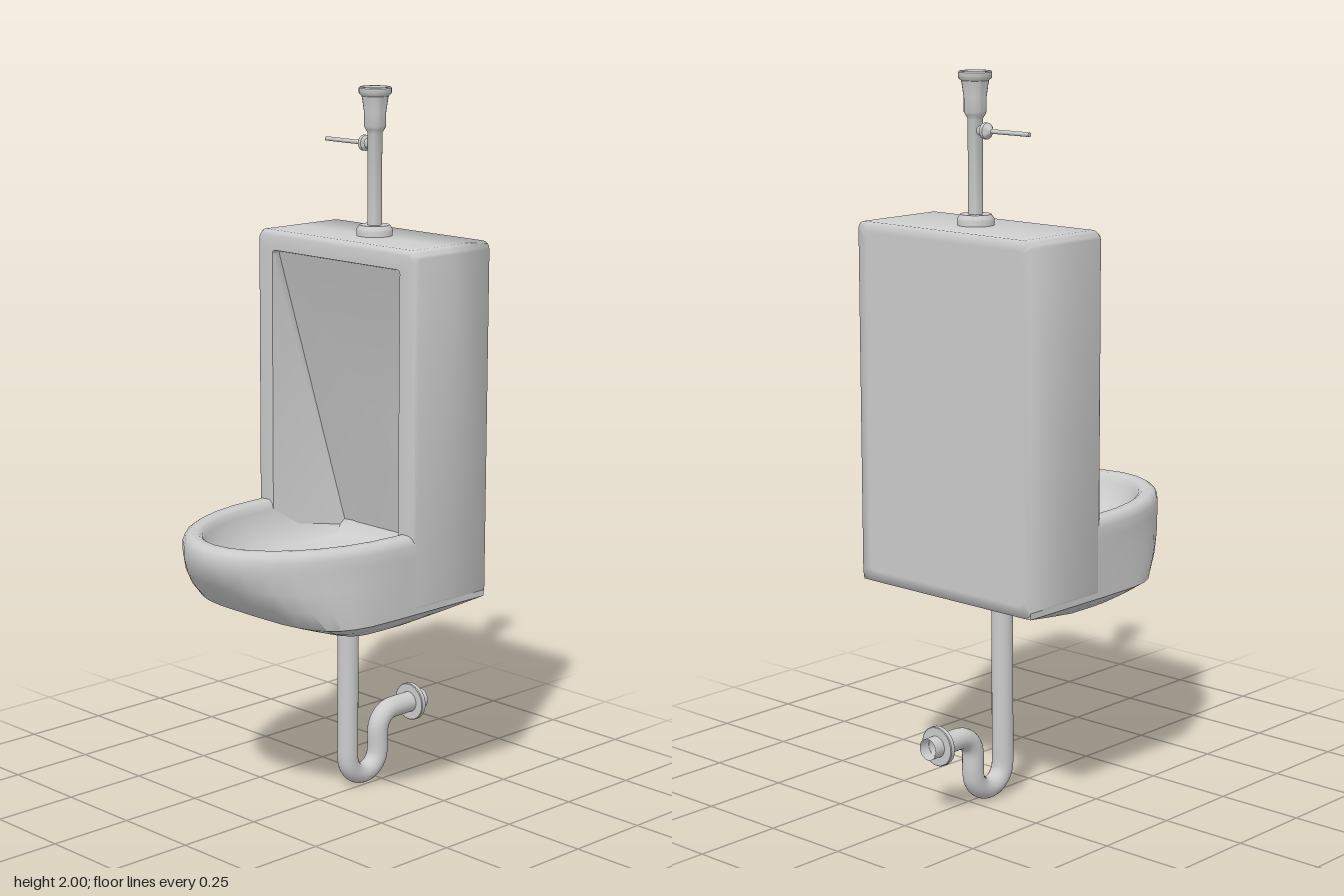
import * as THREE from 'three';
import { toCreasedNormals } from 'three/addons/utils/BufferGeometryUtils.js';

const grey = new THREE.MeshStandardMaterial({ color: 0xcccccc });
const greyOpen = new THREE.MeshStandardMaterial({ color: 0xcccccc, side: THREE.DoubleSide });

function add(parent, name, geometry, material = grey) {
  const mesh = new THREE.Mesh(geometry, material);
  mesh.name = name;
  parent.add(mesh);
  return mesh;
}

// Skin a list of closed rings that all have the same number of points
function loft(rings, crease) {
  const n = rings[0].length;
  const index = [];
  for (let i = 0; i < rings.length - 1; i++) {
    for (let j = 0; j < n; j++) {
      const k = (j + 1) % n;
      const a = i * n + j, b = i * n + k, c = b + n, d = a + n;
      index.push(a, d, b, b, d, c);
    }
  }
  const geometry = new THREE.BufferGeometry();
  geometry.setAttribute('position', new THREE.Float32BufferAttribute(rings.flat(2), 3));
  geometry.setIndex(index);
  return toCreasedNormals(geometry, crease);
}

// Upright rounded rectangle, clockwise from the front
function rectRing(halfW, y0, y1, r, z) {
  const ring = [];
  const corners = [[1, 1], [1, 0], [-1, 0], [-1, 1]];
  corners.forEach(([sx, top], q) => {
    for (let s = 0; s <= 4; s++) {
      const a = Math.PI / 2 - (q + s / 4) * Math.PI / 2;
      ring.push([sx * (halfW - r) + r * Math.cos(a), (top ? y1 - r : y0 + r) + r * Math.sin(a), z]);
    }
  });
  return ring;
}

// Horizontal bowl outline: straight back and sides, front from elliptical (power 1) to boxy
function bowlRing(y, halfW, front, back, power = 1) {
  const start = -0.02, ring = [];
  for (let s = 0; s <= 16; s++) {
    const a = s / 16 * Math.PI;
    const c = Math.cos(a), d = Math.max(0, Math.sin(a));
    ring.push([
      halfW * Math.sign(c) * Math.abs(c) ** power, y,
      start + (front - start) * d ** power,
    ]);
  }
  ring.push([-halfW, y, back], [-halfW / 3, y, back], [halfW / 3, y, back], [halfW, y, back]);
  return ring;
}

const repeat = (point, n) => Array.from({ length: n }, () => point);

// Softly shaded housing with a framed front opening
function createHousing() {
  return loft([
    repeat([0, 1.1, -0.34], 20),
    rectRing(0.28, 0.63, 1.565, 0.015, -0.34),
    rectRing(0.31, 0.6, 1.595, 0.022, -0.34),
    rectRing(0.31, 0.6, 1.595, 0.022, -0.19),
    rectRing(0.31, 0.6, 1.595, 0.022, -0.07),
    rectRing(0.305, 0.605, 1.59, 0.022, -0.059),
    rectRing(0.295, 0.615, 1.58, 0.02, -0.055),
    rectRing(0.25, 0.64, 1.54, 0.01, -0.057),
  ], 1.75);
}

// Recess whose back wall deepens and narrows towards the bowl
function createRecess() {
  const opening = rectRing(0.25, 0.64, 1.54, 0.01, -0.057);
  const place = (x, y) => {
    const t = Math.min(1, (1.54 - y) / 0.8);
    return [x * (1 - 0.17 * t), y, -0.075 - 0.245 * t];
  };
  const wall = rectRing(0.245, 0.645, 1.535, 0.01, 0).map(([x, y]) => place(x, y));
  return loft([opening, wall, repeat(place(0, 1.1), 20)], 0.6);
}

function createBowl() {
  // y, half width, front z, back z, power: up the outside, over the rim, down the inside
  const levels = [
    [0.55, 0.235, 0.12, -0.09, 0.5], [0.575, 0.275, 0.19, -0.21, 0.5],
    [0.6, 0.309, 0.26, -0.339, 0.55], [0.655, 0.309, 0.335, -0.335, 0.72],
    [0.71, 0.309, 0.395, -0.335, 0.9], [0.765, 0.309, 0.425, -0.335],
    [0.795, 0.309, 0.425, -0.335], [0.812, 0.304, 0.418, -0.335],
    [0.82, 0.293, 0.405, -0.335], [0.82, 0.266, 0.382, -0.33],
    [0.812, 0.255, 0.37, -0.325], [0.795, 0.25, 0.364, -0.322],
    [0.74, 0.235, 0.325, -0.31], [0.7, 0.19, 0.24, -0.26],
    [0.675, 0.12, 0.13, -0.18],
  ];
  const rings = levels.map(level => bowlRing(...level));
  const n = rings[0].length;
  return loft([repeat([0, 0.528, 0.01], n), ...rings, repeat([0, 0.665, -0.03], n)], 0.9);
}

function lathe(profile, segments = 24) {
  const points = profile.map(([r, y]) => new THREE.Vector2(r, y));
  return toCreasedNormals(new THREE.LatheGeometry(points, segments), 0.6);
}

function createFlushValve() {
  const valve = new THREE.Group();
  valve.name = 'flushValve';
  valve.position.set(0.012, 0, -0.198);
  add(valve, 'valveBase', lathe([[0.05, 1.59], [0.05, 1.612], [0.042, 1.624], [0, 1.624]]));
  add(valve, 'valveStemAndHead', lathe([
    [0.02, 1.61], [0.02, 1.875], [0.026, 1.885], [0.03, 1.893], [0.03, 1.93], [0.035, 1.965],
    [0.037, 1.975], [0.043, 1.98], [0.045, 1.985], [0.045, 1.997], [0.042, 2],
    [0.036, 2], [0.034, 1.993], [0, 1.993],
  ]));
  // Lever pointing to the model's right
  const lever = add(valve, 'flushLever', lathe([
    [0.012, 0.01], [0.014, 0.028], [0.022, 0.034], [0.022, 0.044], [0.014, 0.052],
    [0.006, 0.06], [0.006, 0.192], [0, 0.192],
  ], 16));
  lever.rotation.z = Math.PI / 2;
  lever.position.y = 1.845;
  return valve;
}

function createDrain() {
  const drain = new THREE.Group();
  drain.name = 'drain';
  const x = -0.018, points = [];
  const put = (y, z) => points.push(new THREE.Vector3(x, y, z));
  const arc = (y, z, from, to) => {
    for (let s = 0; s <= 8; s++) {
      const a = from + (to - from) * s / 8;
      put(y + 0.06 * Math.sin(a), z + 0.06 * Math.cos(a));
    }
  };
  // Straight drop, U-trap, elbow and wall outlet
  put(0.62, -0.13);
  put(0.35, -0.13);
  put(0.14, -0.13);
  arc(0.09, -0.19, 0, -Math.PI);
  arc(0.14, -0.31, 0, Math.PI / 2);
  put(0.2, -0.37);
  put(0.2, -0.428);
  const path = new THREE.CatmullRomCurve3(points, false, 'centripetal');
  add(drain, 'drainPipe', new THREE.TubeGeometry(path, 120, 0.03, 20), greyOpen);
  // Wall flange around the outlet
  const flange = add(drain, 'wallFlange', lathe([
    [0.029, -0.008], [0.053, -0.008], [0.055, -0.006], [0.055, 0.006], [0.053, 0.008], [0.029, 0.008],
  ], 28));
  flange.rotation.x = Math.PI / 2;
  flange.position.set(x, 0.2, -0.386);
  return drain;
}

export function createModel() {
  const model = new THREE.Group();
  model.name = 'urinal';
  add(model, 'housing', createHousing());
  add(model, 'recess', createRecess());
  add(model, 'bowl', createBowl());
  model.add(createFlushValve(), createDrain());
  return model;
}
